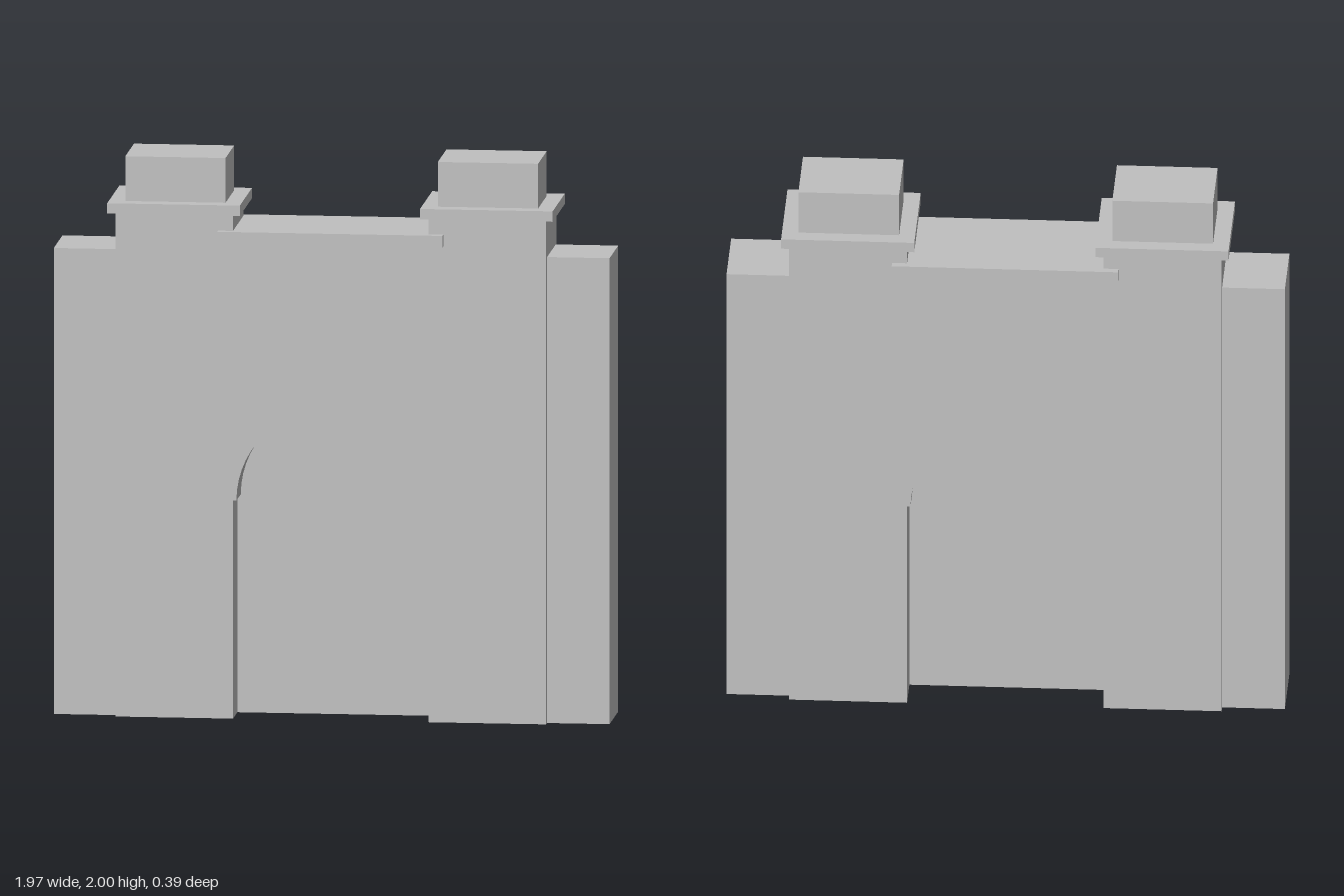
import * as THREE from 'three';

export function createModel() {
  const model = new THREE.Group();
  model.name = 'gateway';
  const stone = new THREE.MeshStandardMaterial({ color: 0xc0c0c0 });
  stone.name = 'grey stone';

  const add = (name, geometry) => {
    const mesh = new THREE.Mesh(geometry, stone);
    mesh.name = name;
    model.add(mesh);
  };
  // Box given by its limits on each axis
  const box = (name, x0, x1, y0, y1, z0, z1) => add(name,
    new THREE.BoxGeometry(x1 - x0, y1 - y0, z1 - z0)
      .translate((x0 + x1) / 2, (y0 + y1) / 2, (z0 + z1) / 2));
  // Outline extruded evenly about z = 0
  const slab = (name, points, depth) => add(name,
    new THREE.ExtrudeGeometry(new THREE.Shape(points), { depth, bevelEnabled: false })
      .translate(0, 0, -depth / 2));

  // Arch outline from left foot to right foot, with a small step at the springing
  const half = 0.347, spring = 0.78, radius = 0.335, segments = 28;
  const arch = [new THREE.Vector2(-half, 0), new THREE.Vector2(-half, spring)];
  for (let i = 0; i <= segments; i++) {
    const a = Math.PI * (1 - i / segments);
    arch.push(new THREE.Vector2(radius * Math.cos(a), spring + radius * Math.sin(a)));
  }
  arch.push(new THREE.Vector2(half, spring), new THREE.Vector2(half, 0));

  // Main wall with its two raised piers, cut by the arch
  const wallTop = 1.745, pierTop = 1.803, wallX = 0.765, wallZ = 0.167;
  const outline = [[wallX, 0], [wallX, pierTop], [half, pierTop], [half, wallTop],
    [-half, wallTop], [-half, pierTop], [-wallX, pierTop], [-wallX, 0]]
    .map(([x, y]) => new THREE.Vector2(x, y));
  slab('archWall', [...arch, ...outline], wallZ * 2);

  // Closed door panel in the middle of the archway
  slab('doorPanel', arch, 0.055);

  // Ledges along the front and back of the wall top
  box('frontLedge', -0.4, 0.4, 1.703, wallTop, wallZ, 0.193);
  box('backLedge', -0.4, 0.4, 1.703, wallTop, -0.193, -wallZ);

  // Side wings, pier caps and top blocks
  for (const [side, s] of [['left', 1], ['right', -1]]) {
    const pair = (name, a, b, y0, y1, z) =>
      box(side + name, Math.min(s * a, s * b), Math.max(s * a, s * b), y0, y1, -z, z);
    pair('Wing', wallX, 0.987, 0, 1.667, 0.137);
    pair('PierCap', 0.32, 0.791, pierTop, 1.84, 0.193);
    pair('TopBlock', 0.377, 0.733, 1.84, 2, 0.137);
  }
  return model;
}
